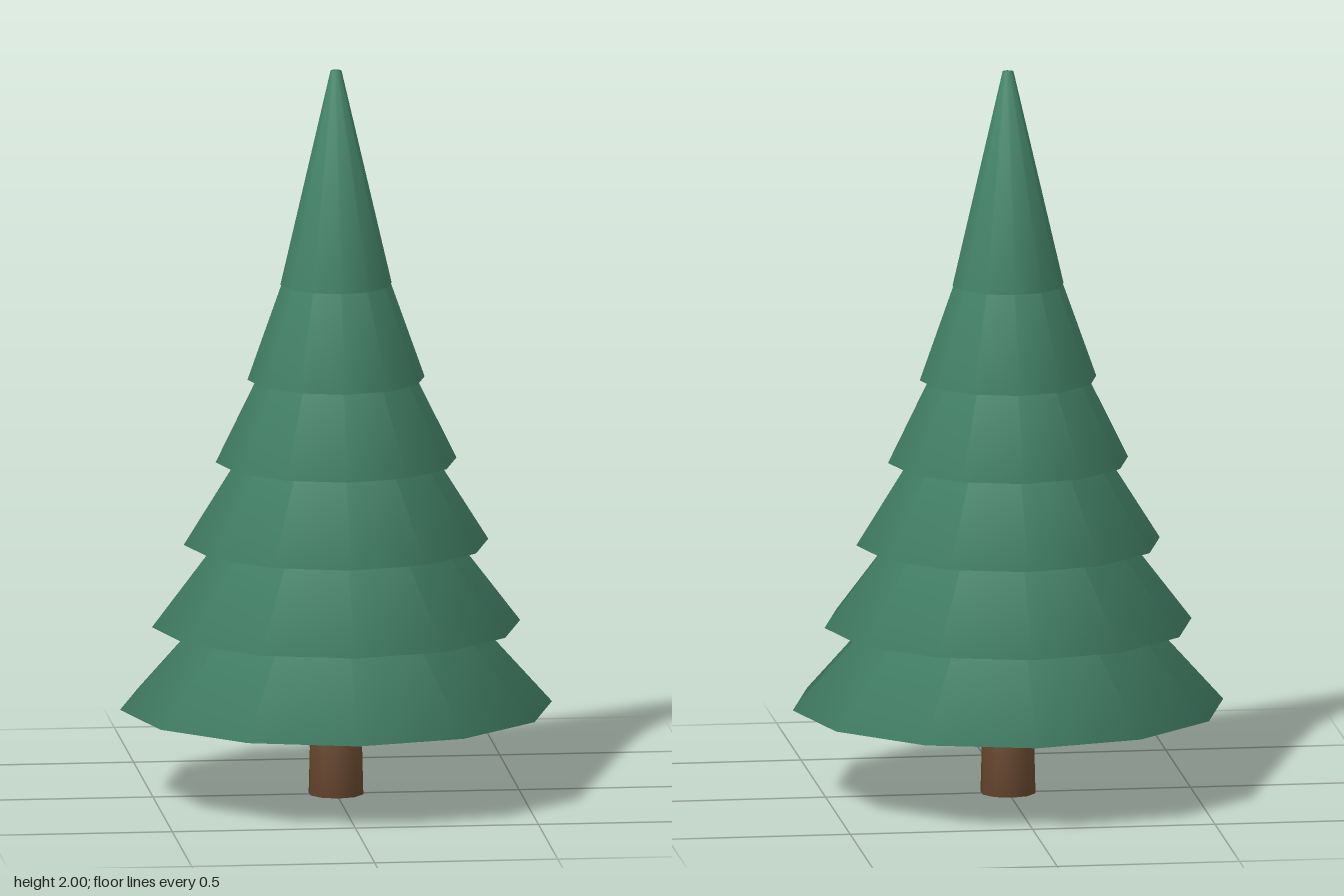
import * as THREE from 'three';

// Closed smooth solid of revolution: flat bottom, sloped side, small flat tip
function taperedSolid(rBottom, rTop, yBottom, yTop, sides) {
  const profile = [[0, yBottom], [rBottom, yBottom], [rTop, yTop], [0, yTop]];
  return new THREE.LatheGeometry(profile.map(([r, y]) => new THREE.Vector2(r, y)), sides);
}

export function createModel() {
  const tree = new THREE.Group();
  tree.name = 'pineTree';
  const foliage = new THREE.MeshStandardMaterial({ color: 0x488a6f });
  foliage.name = 'foliage green';
  const bark = new THREE.MeshStandardMaterial({ color: 0x6b4930 });
  bark.name = 'bark brown';

  function add(name, geometry, material) {
    const mesh = new THREE.Mesh(geometry, material);
    mesh.name = name;
    tree.add(mesh);
  }

  // Trunk, slightly narrower at the top
  add('trunk', taperedSolid(0.076, 0.068, 0, 0.3, 10), bark);

  // Overlapping branch tiers: evenly stepped cones whose tips hide in the tier above
  for (let i = 0; i < 5; i++) {
    const y = 0.243 + 0.2265 * i;
    add(`branchTier${i + 1}`, taperedSolid(0.59 - 0.087 * i, 0.015, y, y + 0.64, 12), foliage);
  }

  // Narrow spire
  add('spire', taperedSolid(0.152, 0.015, 1.41, 2, 12), foliage);
  return tree;
}
